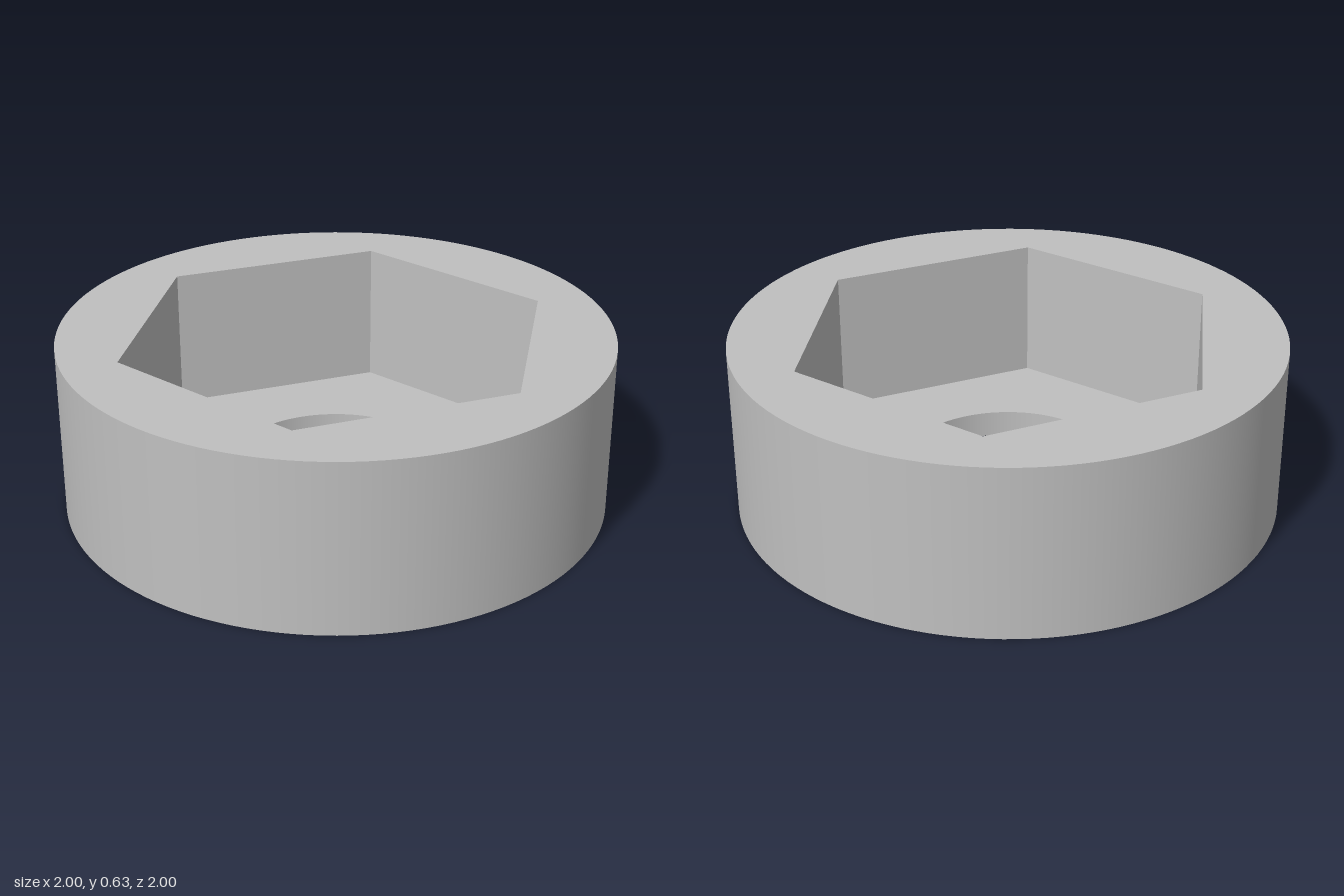
import * as THREE from 'three';

const HEIGHT = 0.635, FLOOR = 0.1;
const OUTER = 1, HEX = 0.8, BORE = 0.4, ROUND = 128;

// Regular polygon outline with a corner on the x axis
function polygon(radius, sides) {
  return Array.from({ length: sides }, (_, i) => {
    const a = (i / sides) * Math.PI * 2;
    return new THREE.Vector2(Math.cos(a) * radius, Math.sin(a) * radius);
  });
}

// Flat face between two outlines, facing up or down
function face(outer, inner, y, up) {
  const shape = new THREE.Shape(outer);
  shape.holes.push(new THREE.Path(inner));
  return new THREE.ShapeGeometry(shape).rotateX(up ? -Math.PI / 2 : Math.PI / 2).translate(0, y, 0);
}

// Upright wall; running upward it faces out, running downward it faces in
function wall(radius, sides, yStart, yEnd) {
  const profile = [new THREE.Vector2(radius, yStart), new THREE.Vector2(radius, yEnd)];
  return new THREE.LatheGeometry(profile, sides, Math.PI / 2);
}

export function createModel() {
  const group = new THREE.Group();
  group.name = 'hexSocketCollar';
  const grey = new THREE.MeshStandardMaterial({ color: 0xc0c0c0 });
  grey.name = 'light grey';

  const add = (name, geometry) => {
    const mesh = new THREE.Mesh(geometry, grey);
    mesh.name = name;
    group.add(mesh);
  };

  const rim = polygon(OUTER, ROUND), hex = polygon(HEX, 6), bore = polygon(BORE, ROUND);

  // Round body
  add('outerWall', wall(OUTER, ROUND, 0, HEIGHT));
  add('topFace', face(rim, hex, HEIGHT, true));
  add('bottomFace', face(rim, bore, 0, false));

  // Hexagonal pocket with flat sides
  const hexWall = wall(HEX, 6, HEIGHT, FLOOR).toNonIndexed();
  hexWall.computeVertexNormals();
  add('hexPocketWall', hexWall);
  add('pocketFloor', face(hex, bore, FLOOR, true));

  // Through hole
  add('boreWall', wall(BORE, ROUND, FLOOR, 0));

  return group;
}
